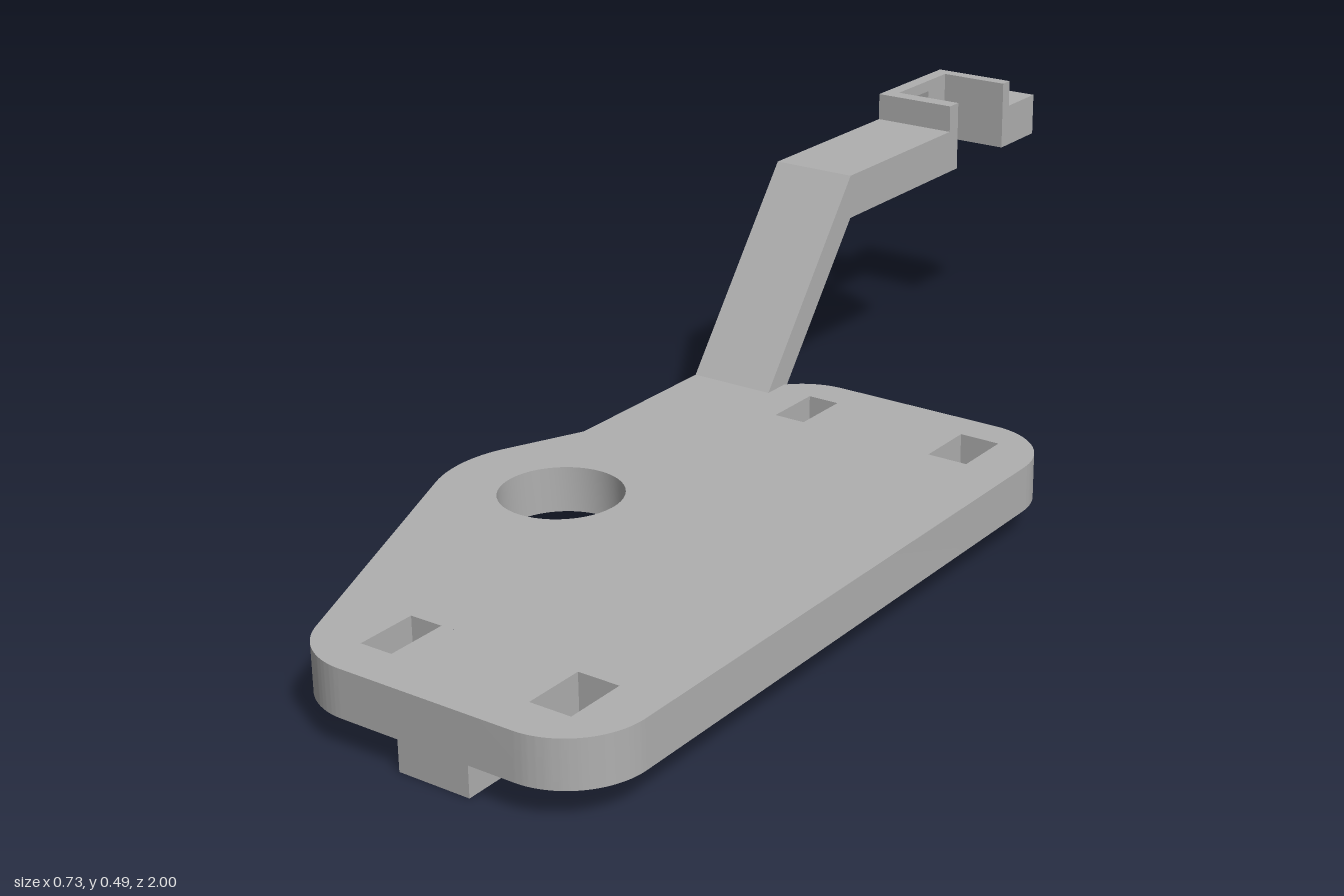
import * as THREE from 'three';
import { toCreasedNormals } from 'three/addons/utils/BufferGeometryUtils.js';

const grey = new THREE.MeshStandardMaterial({ color: 0xb0b0b0 });
grey.name = 'plain grey';

const rect = (x0, x1, y0, y1, Type = THREE.Shape) => new Type([
  [x0, y0], [x1, y0], [x1, y1], [x0, y1],
].map(([x, y]) => new THREE.Vector2(x, y)));

const circle = (x, y, r) => new THREE.Path().absarc(x, y, r, 0, Math.PI * 2, false);

function extrude(shape, depth) {
  return new THREE.ExtrudeGeometry(shape, { depth, bevelEnabled: false, curveSegments: 24 });
}

function part(name, geometry) {
  const mesh = new THREE.Mesh(toCreasedNormals(geometry, 0.5), grey);
  mesh.name = name;
  return mesh;
}

// Outline drawn in (x, z), thickened from y0 up to y1
const slab = (name, shape, y0, y1) =>
  part(name, extrude(shape, y1 - y0).rotateX(Math.PI / 2).translate(0, y1, 0));

// Outline drawn in (-z, y), thickened from x0 to x1
const sidePanel = (name, shape, x0, x1) =>
  part(name, extrude(shape, x1 - x0).rotateY(Math.PI / 2).translate(x0, 0, 0));

const profile = (points) => new THREE.Shape(points.map(([u, y]) => new THREE.Vector2(u, y)));

export function createModel() {
  const model = new THREE.Group();
  model.name = 'mountingBracket';
  const PI = Math.PI;
  const bottom = 0.05, top = 0.125;
  const armLeft = -0.29, armRight = -0.14;

  // Base plate: rounded corners, a round bulge and a root for the arm
  const plate = new THREE.Shape();
  plate.moveTo(armLeft, -0.18);
  plate.lineTo(armRight, -0.18);
  plate.absarc(-0.05, -0.09, 0.12, PI + 0.72, PI * 1.5, false);
  plate.absarc(0.247, -0.09, 0.12, -PI / 2, 0, false);
  plate.absarc(0.247, 0.88, 0.12, 0, PI / 2, false);
  plate.absarc(-0.05, 0.88, 0.12, PI / 2, PI - 0.4, false);
  plate.absarc(-0.167, 0.39, 0.2, PI - 0.4, PI + 0.42, false);
  plate.lineTo(armLeft, 0.18);
  plate.closePath();
  plate.holes.push(circle(-0.167, 0.39, 0.098));
  for (const [x0, x1] of [[-0.075, -0.02], [0.217, 0.286]]) {
    for (const z of [-0.15, 0.83]) plate.holes.push(rect(x0, x1, z, z + 0.1, THREE.Path));
  }
  model.add(slab('basePlate', plate, bottom, top));

  // Feet with blind round holes underneath
  for (const [name, z] of [['frontFoot', 0.92], ['backFoot', -0.2]]) {
    const foot = rect(0.047, 0.168, z, z + 0.078);
    foot.holes.push(circle(0.1075, z + 0.039, 0.024));
    model.add(slab(name, foot, 0, bottom));
  }

  // Sloping arm, level section and front lip of the holder
  model.add(sidePanel('arm', profile([
    [0.123, top], [0.18, top], [0.37, 0.365], [0.723, 0.365],
    [0.723, 0.487], [0.695, 0.487], [0.695, 0.44], [0.37, 0.44],
  ]), armLeft, armRight));

  // Thin side wall of the holder with a window
  const wall = rect(0.723, 0.884, 0.365, 0.487);
  wall.holes.push(rect(0.772, 0.825, 0.382, 0.467, THREE.Path));
  model.add(sidePanel('holderWall', wall, armLeft, -0.265));

  // Stepped end block
  model.add(sidePanel('holderEnd', profile([
    [0.884, 0.365], [1, 0.365], [1, 0.44], [0.907, 0.44], [0.907, 0.487], [0.884, 0.487],
  ]), armLeft, armRight));

  return model;
}
